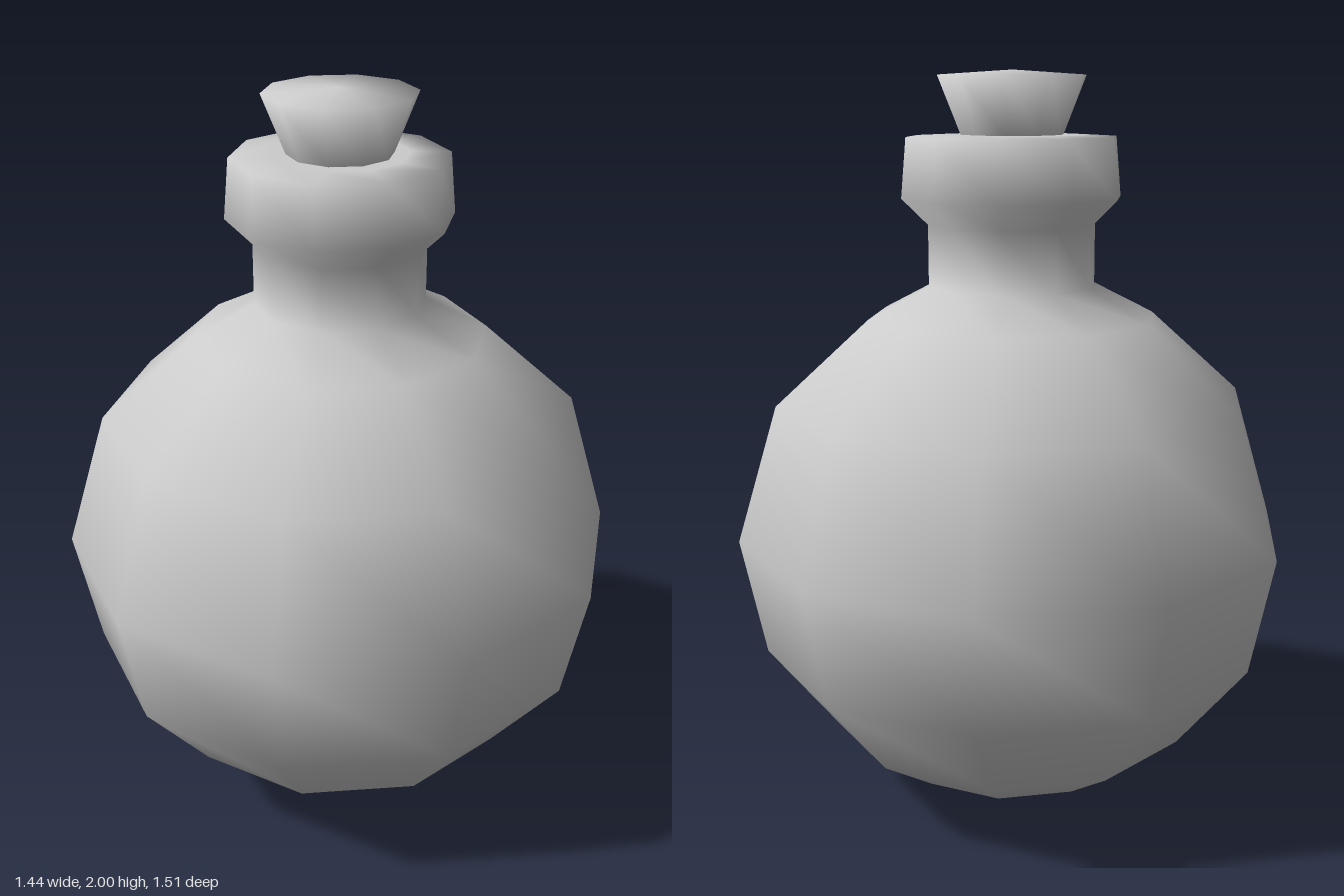
import * as THREE from 'three';

const SIDES = 10;

// Ten-sided smooth turned part from [radius, height] pairs, bottom to top
function turned(name, profile) {
  const points = profile.map(([r, y]) => new THREE.Vector2(r, y));
  const material = new THREE.MeshStandardMaterial({ color: 0xcccccc });
  const mesh = new THREE.Mesh(new THREE.LatheGeometry(points, SIDES), material);
  mesh.name = name;
  return mesh;
}

export function createModel() {
  const group = new THREE.Group();
  group.name = 'roundFlask';

  // Round body, short neck and flared collar in one skin
  group.add(turned('bottle', [
    [0, 0], [0.327, 0.09], [0.497, 0.2], [0.69, 0.44], [0.755, 0.76],
    [0.643, 1.13], [0.392, 1.355], [0.227, 1.44],
    [0.227, 1.603], [0.297, 1.672], [0.283, 1.83],
    [0.18, 1.835], [0, 1.835],
  ]));

  // Tapered stopper with a slightly domed top
  group.add(turned('stopper', [[0.136, 1.83], [0.199, 1.987], [0, 2]]));

  return group;
}
